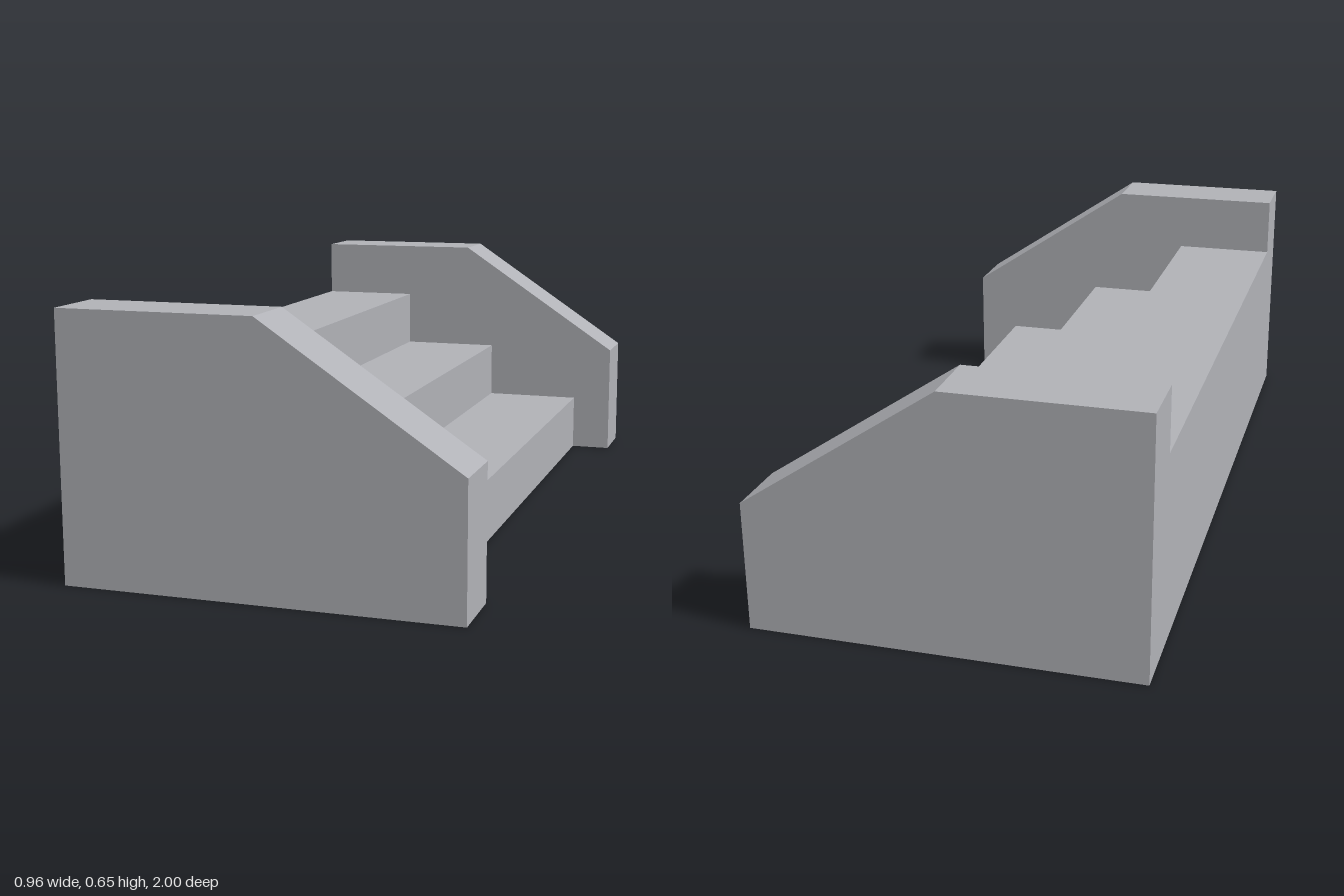
import * as THREE from 'three';

// Extrude an x-y profile from z0 to z1
function prism(points, z0, z1) {
  const shape = new THREE.Shape(points.map(([x, y]) => new THREE.Vector2(x, y)));
  const geometry = new THREE.ExtrudeGeometry(shape, { depth: z1 - z0, bevelEnabled: false });
  return geometry.translate(0, 0, z0);
}

export function createModel() {
  const model = new THREE.Group();
  model.name = 'stairs';
  const concrete = new THREE.MeshStandardMaterial({ color: 0xb0b1b6 });
  concrete.name = 'concrete grey';

  const back = -0.48, front = 0.48;
  const wallInner = 0.83;
  const rise = 0.162;
  const treadEdges = [0.365, 0.085, -0.2]; // lowest step first

  // Stepped block between the side walls
  const profile = [[back, 0]];
  treadEdges.forEach((x, i) => profile.push([x, i * rise], [x, (i + 1) * rise]));
  profile.push([back, treadEdges.length * rise]);
  const steps = new THREE.Mesh(prism(profile, -wallInner, wallInner), concrete);
  steps.name = 'steps';
  model.add(steps);

  // Side walls with sloped tops
  const wallProfile = [[back, 0], [front, 0], [front, 0.325], [0, 0.647], [back, 0.647]];
  for (const [name, z0, z1] of [['frontSideWall', wallInner, 1], ['backSideWall', -1, -wallInner]]) {
    const wall = new THREE.Mesh(prism(wallProfile, z0, z1), concrete);
    wall.name = name;
    model.add(wall);
  }

  return model;
}
